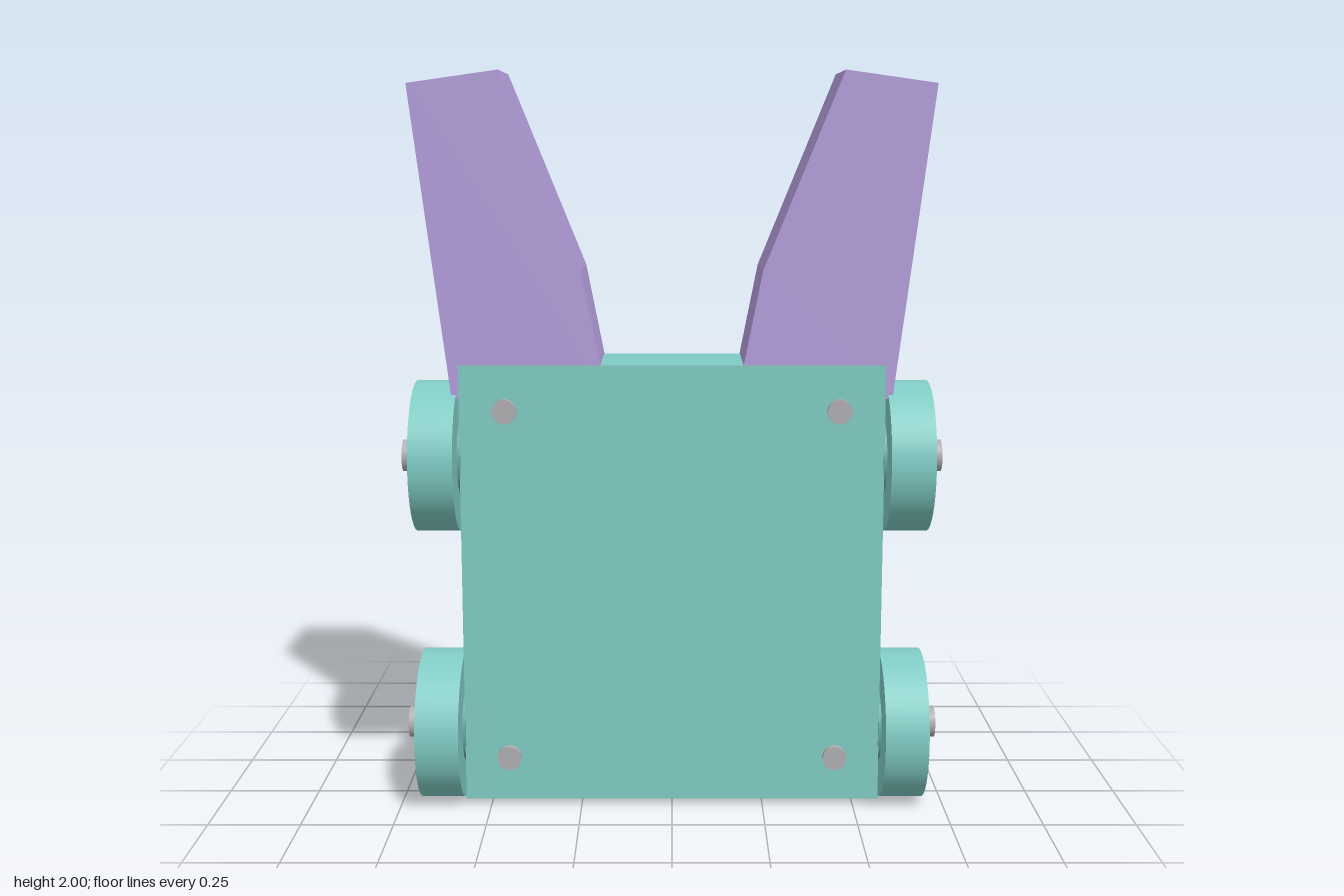
import * as THREE from 'three';

const mat = (name, color) => {
  const m = new THREE.MeshStandardMaterial({ color });
  m.name = name;
  return m;
};

export function createModel() {
  const teal = mat('teal', 0x80cbc4);
  const darkTeal = mat('darkTeal', 0x69aaa2);
  const purple = mat('purple', 0xb39ddb);
  const grey = mat('grey', 0xb0aeb2);

  const model = new THREE.Group();
  model.name = 'wheeledBoard';
  const add = (parent, name, geometry, material, x, y, z) => {
    const mesh = new THREE.Mesh(geometry, material);
    mesh.name = name;
    mesh.position.set(x, y, z);
    parent.add(mesh);
    return mesh;
  };

  // Slab body
  add(model, 'body', new THREE.BoxGeometry(1.14, 1.21, 0.274), teal, 0, 0.625, -0.037);

  // Wheel parts, with the axle along x
  const disc = (r, length) => new THREE.CylinderGeometry(r, r, length, 48).rotateZ(Math.PI / 2);
  const tyreGeo = disc(0.206, 0.118);
  const hubGeo = disc(0.107, 0.138);
  const axleGeo = disc(0.043, 0.185);
  const boltGeo = new THREE.CylinderGeometry(0.033, 0.033, 0.04, 32).rotateX(Math.PI / 2);

  for (const s of [1, -1]) {
    const side = s > 0 ? 'left' : 'right';

    // Ear outline, mirrored for each side
    const outline = [[0.588, 1.14], [0.69, 1.966], [0.45, 2], [0.24, 1.48], [0.173, 1.14]];
    const shape = new THREE.Shape(outline.map(([x, y]) => new THREE.Vector2(s * x, y)));
    const earGeo = new THREE.ExtrudeGeometry(shape, { depth: 0.289, bevelEnabled: false });
    add(model, side + 'Ear', earGeo, purple, 0, 0, -0.19);

    for (const [level, wheelY, boltY] of [['Upper', 0.97, 1.107], ['Lower', 0.21, 0.142]]) {
      const wheel = new THREE.Group();
      wheel.name = side + level + 'Wheel';
      wheel.position.y = wheelY;
      add(wheel, 'tyre', tyreGeo, teal, s * 0.636, 0, 0);
      add(wheel, 'hub', hubGeo, darkTeal, s * 0.637, 0, 0);
      add(wheel, 'axle', axleGeo, grey, s * 0.6425, 0, 0);
      model.add(wheel);

      // Bolt head on the front of the body
      add(model, side + level + 'Bolt', boltGeo, grey, s * 0.448, boltY, 0.097);
    }
  }
  return model;
}
